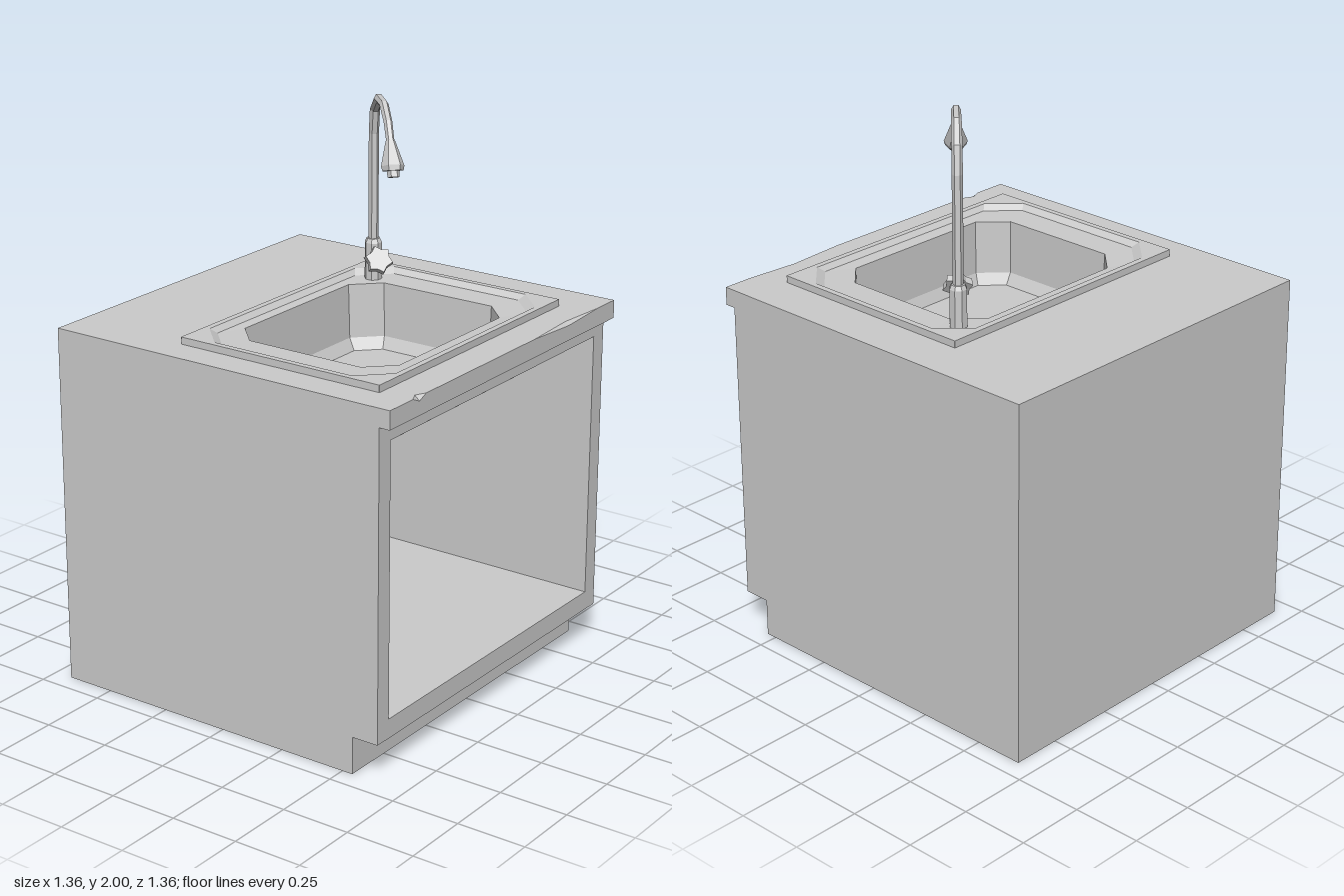
import * as THREE from 'three';

const material = new THREE.MeshStandardMaterial({ color: 0xcccccc, flatShading: true, side: THREE.DoubleSide });

function add(parent, name, geometry) {
  const mesh = new THREE.Mesh(geometry, material);
  mesh.name = name;
  parent.add(mesh);
  return mesh;
}

// Box given by its extents on each axis
function block(parent, name, [x0, x1], [y0, y1], [z0, z1]) {
  const mesh = add(parent, name, new THREE.BoxGeometry(x1 - x0, y1 - y0, z1 - z0));
  mesh.position.set((x0 + x1) / 2, (y0 + y1) / 2, (z0 + z1) / 2);
}

// Skin joining equal-length rings of Vector3, with optional flat ends
function loft(rings, capStart = false, capEnd = false) {
  const n = rings[0].length;
  const index = [];
  for (let r = 0; r < rings.length - 1; r++) {
    for (let i = 0; i < n; i++) {
      const a = r * n + i, b = r * n + (i + 1) % n;
      index.push(a, b, b + n, a, b + n, a + n);
    }
  }
  const last = (rings.length - 1) * n;
  for (let i = 1; i < n - 1; i++) {
    if (capStart) index.push(0, i + 1, i);
    if (capEnd) index.push(last, last + i, last + i + 1);
  }
  const geometry = new THREE.BufferGeometry().setFromPoints(rings.flat());
  geometry.setIndex(index);
  geometry.computeVertexNormals();
  return geometry;
}

// Horizontal rectangle with corners cut by c, running counter-clockwise from above
function octagon(x0, x1, z0, z1, c, y) {
  return [
    [x0 + c, z1], [x1 - c, z1], [x1, z1 - c], [x1, z0 + c],
    [x1 - c, z0], [x0 + c, z0], [x0, z0 + c], [x0, z1 - c],
  ].map(([x, z]) => new THREE.Vector3(x, y, z));
}

function buildCabinet(parent) {
  const g = new THREE.Group();
  g.name = 'cabinet';
  parent.add(g);
  block(g, 'toeKick', [-0.68, 0.68], [0, 0.135], [-0.68, 0.54]);
  block(g, 'cabinetFloor', [-0.68, 0.68], [0.135, 0.205], [-0.68, 0.64]);
  block(g, 'backPanel', [-0.68, 0.68], [0.205, 1.235], [-0.68, -0.51]);
  for (const s of [-1, 1]) {
    const xs = s < 0 ? [-0.68, -0.617] : [0.617, 0.68];
    block(g, s < 0 ? 'rightSide' : 'leftSide', xs, [0.205, 1.235], [-0.51, 0.64]);
  }
  block(g, 'frontRail', [-0.617, 0.617], [1.175, 1.235], [0.57, 0.64]);
}

function buildCountertop(parent) {
  // Slab with an opening for the bowl
  const slab = new THREE.Shape();
  slab.moveTo(-0.68, -0.62).lineTo(0.68, -0.62).lineTo(0.68, 0.68).lineTo(-0.68, 0.68).closePath();
  const hole = new THREE.Path();
  hole.moveTo(-0.45, -0.5).lineTo(-0.45, 0.2).lineTo(0.42, 0.2).lineTo(0.42, -0.5).closePath();
  slab.holes.push(hole);
  const geometry = new THREE.ExtrudeGeometry(slab, { depth: 0.065, bevelEnabled: false });
  geometry.rotateX(-Math.PI / 2);
  geometry.translate(0, 1.235, 0);
  add(parent, 'countertop', geometry);

  // Front edge with two worn chips: x, setback, drop
  const stations = [
    [-0.68, 0, 0], [-0.555, 0, 0], [-0.518, 0.018, 0.016], [-0.48, 0, 0],
    [0.16, 0, 0], [0.378, 0.015, 0.011], [0.57, 0, 0], [0.68, 0, 0],
  ];
  const rings = stations.map(([x, dz, dy]) => [
    [1.235, 0.62], [1.3, 0.62], [1.3, 0.68 - dz], [1.3 - dy, 0.68], [1.235, 0.68],
  ].map(([y, z]) => new THREE.Vector3(x, y, z)));
  add(parent, 'countertopFrontEdge', loft(rings, true, true));
}

function buildSink(parent) {
  // Raised rim, shallow drainer, then the bowl
  add(parent, 'sink', loft([
    octagon(-0.565, 0.51, -0.24, 0.56, 0.001, 1.3),
    octagon(-0.565, 0.51, -0.24, 0.56, 0.001, 1.325),
    octagon(-0.543, 0.488, -0.217, 0.538, 0.1, 1.325),
    octagon(-0.522, 0.465, -0.2, 0.522, 0.1, 1.307),
    octagon(-0.415, 0.36, -0.16, 0.47, 0.09, 1.305),
    octagon(-0.41, 0.355, -0.152, 0.465, 0.088, 1.11),
    octagon(-0.387, 0.333, -0.128, 0.448, 0.073, 1.068),
  ], false, true));
  // Outside of the bowl, hanging inside the cabinet
  add(parent, 'bowlUnderside', loft([
    octagon(-0.468, 0.46, -0.24, 0.53, 0.001, 1.235),
    octagon(-0.413, 0.408, -0.19, 0.47, 0.001, 1.06),
  ], false, true));
}

// Pipe in the diagonal plane of the tap; each point is [outward, y, radius]
function pipe(points, sides) {
  const out = new THREE.Vector3(-1, 0, 1).normalize();
  const up = new THREE.Vector3(0, 1, 0);
  const side = new THREE.Vector3().crossVectors(out, up);
  const rings = points.map(([u, y, radius], i) => {
    const a = points[Math.max(i - 1, 0)], b = points[Math.min(i + 1, points.length - 1)];
    const tu = b[0] - a[0], ty = b[1] - a[1], len = Math.hypot(tu, ty);
    const normal = out.clone().multiplyScalar(ty / len).addScaledVector(up, -tu / len);
    return Array.from({ length: sides }, (_, k) => {
      const t = (k + 0.5) / sides * Math.PI * 2;
      return new THREE.Vector3(0, y, 0).addScaledVector(out, u * Math.SQRT2)
        .addScaledVector(normal, radius * Math.cos(t))
        .addScaledVector(side, -radius * Math.sin(t));
    });
  });
  return loft(rings, true, true);
}

function buildFaucet(parent) {
  const g = new THREE.Group();
  g.name = 'faucet';
  g.position.set(0.384, 0, -0.134);
  parent.add(g);

  add(g, 'faucetColumn', pipe([[0, 1.3, 0.031], [0, 1.44, 0.031], [0, 1.455, 0.024]], 8));
  add(g, 'gooseneck', pipe([
    [0, 1.44, 0.018], [0, 1.835, 0.018], [0.014, 1.925, 0.018], [0.067, 1.981, 0.017],
    [0.141, 1.984, 0.016], [0.196, 1.943, 0.015], [0.231, 1.885, 0.014],
  ], 6));
  add(g, 'sprayHead', pipe([[0.229, 1.89, 0.016], [0.263, 1.815, 0.04], [0.268, 1.8, 0.036]], 6));
  add(g, 'nozzle', pipe([[0.266, 1.805, 0.022], [0.275, 1.78, 0.02]], 6));

  // Handle: slanted stem with a lobed knob
  const axis = new THREE.Vector3(-0.62, 0.5, 0.62).normalize();
  const handle = new THREE.Group();
  handle.name = 'handle';
  handle.position.set(-0.01, 1.35, 0.01);
  handle.quaternion.setFromUnitVectors(new THREE.Vector3(0, 1, 0), axis);
  g.add(handle);
  const stem = add(handle, 'handleStem', new THREE.CylinderGeometry(0.022, 0.018, 0.11, 6));
  stem.position.y = 0.055;
  const knobGeometry = new THREE.CylinderGeometry(0.046, 0.05, 0.028, 12);
  const p = knobGeometry.attributes.position;
  for (let i = 0; i < p.count; i++) {
    const x = p.getX(i), z = p.getZ(i);
    const lobe = Math.round(Math.atan2(z, x) / (Math.PI / 6)) % 2 === 0 ? 1.05 : 0.78;
    p.setX(i, x * lobe);
    p.setZ(i, z * lobe);
  }
  add(handle, 'knob', knobGeometry).position.y = 0.113;
}

export function createModel() {
  const model = new THREE.Group();
  model.name = 'sinkCabinet';
  buildCabinet(model);
  buildCountertop(model);
  buildSink(model);
  buildFaucet(model);
  return model;
}
